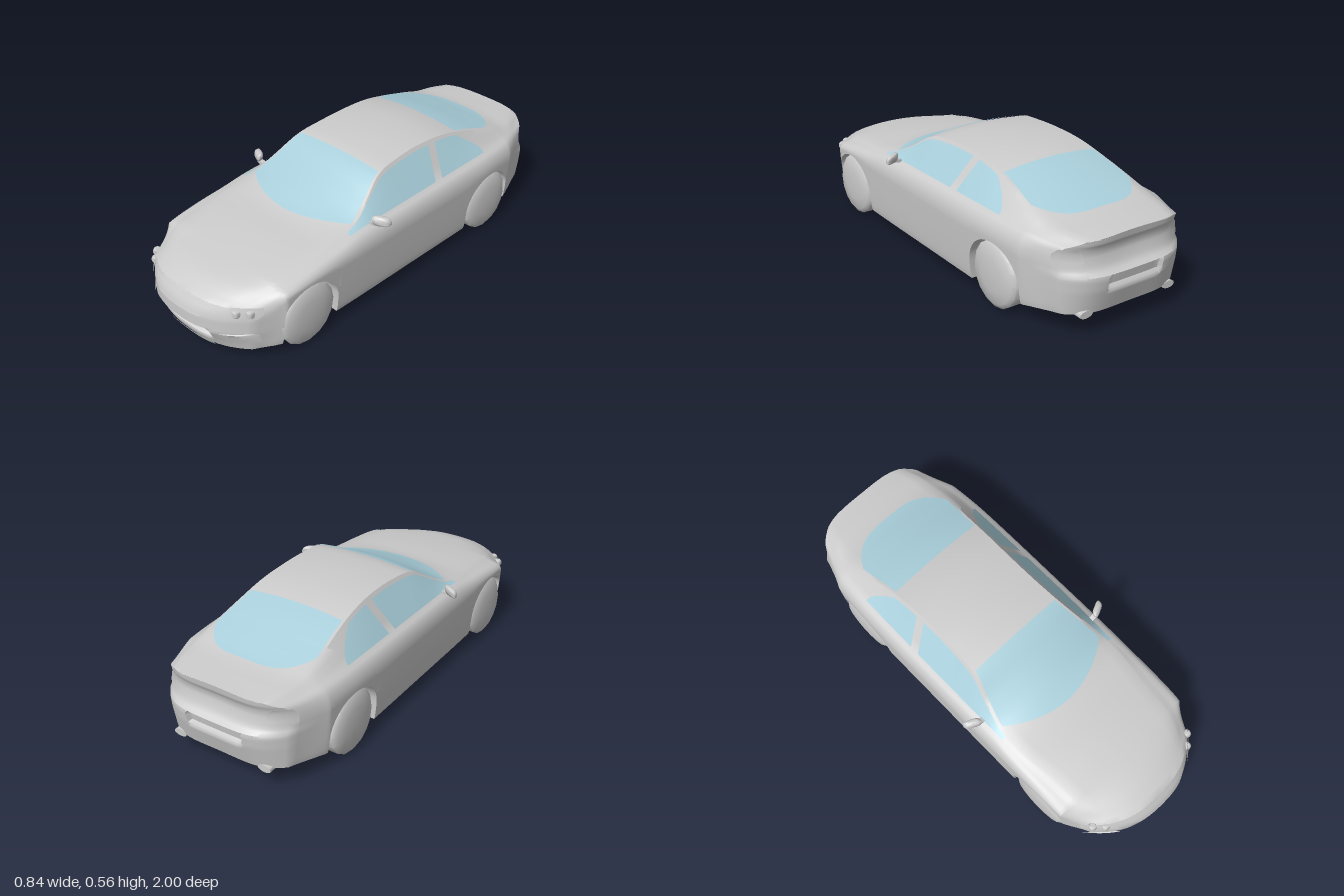
import * as THREE from 'three';
import { mergeGeometries, toCreasedNormals } from 'three/addons/utils/BufferGeometryUtils.js';

const { clamp, lerp } = THREE.MathUtils;
const V = (x, y, z) => new THREE.Vector3(x, y, z);
const grey = new THREE.MeshStandardMaterial({ color: 0xcccccc });
const glass = new THREE.MeshStandardMaterial({ color: 0xaad0dc });

// Upper body by station: s, centre height, roof or hood edge x and y
const ROOF = [
  [-1, .415, .22, .405], [-.9, .422, .25, .412], [-.78, .435, .26, .422], [-.65, .475, .265, .455],
  [-.5, .522, .25, .502], [-.35, .553, .24, .538], [-.2, .563, .235, .55], [-.05, .559, .238, .545],
  [.08, .54, .25, .525], [.2, .484, .285, .45], [.3, .44, .31, .397], [.42, .396, .315, .378],
  [.6, .375, .29, .36], [.75, .352, .28, .338], [.9, .322, .25, .305], [1, .288, .22, .278],
];
// Lower body by station: s, belt x and y, shoulder x and y
const BELT = [
  [-1, .27, .385, .31, .3], [-.9, .295, .385, .337, .305], [-.78, .315, .393, .362, .305],
  [-.65, .33, .395, .376, .305], [-.5, .337, .395, .384, .305], [0, .34, .39, .385, .305],
  [.3, .336, .383, .385, .305], [.42, .342, .365, .384, .305], [.6, .338, .345, .382, .303],
  [.75, .325, .322, .375, .29], [.9, .3, .289, .345, .25], [1, .27, .268, .31, .225],
];
// Set-back of the nose and tail by height
const FRONT_DEPTH = [[.06, .05], [.1, .03], [.15, 0], [.22, 0], [.25, .01], [.29, .035]];
const REAR_DEPTH = [[.1, .04], [.2, .01], [.26, 0], [.28, .03], [.35, .055], [.385, .035], [.415, .03]];
const AXLES = [.61, -.555], ARCH = .16;

// Look up one column of a table, with a cubic or straight blend
function look(table, x, c, smooth = true) {
  const n = table.length - 1;
  x = clamp(x, table[0][0], table[n][0]);
  let i = 0;
  while (i < n - 1 && x > table[i + 1][0]) i++;
  const a = table[i], b = table[i + 1], h = b[0] - a[0], t = (x - a[0]) / h;
  if (!smooth) return lerp(a[c], b[c], t);
  const slope = k => {
    const p = table[Math.max(k - 1, 0)], q = table[Math.min(k + 1, n)];
    return (q[c] - p[c]) / (q[0] - p[0]) * h;
  };
  const t2 = t * t, t3 = t2 * t, w = 3 * t2 - 2 * t3;
  return lerp(a[c], b[c], w) + slope(i) * (t3 - 2 * t2 + t) + slope(i + 1) * (t3 - t2);
}

// Bow the ends in plan and shape the nose and tail in profile
function warp(x, y, s) {
  const a = Math.abs(s), w = Math.abs(x) / .31;
  const bow = s > 0 ? .14 * w ** 2.5 * clamp((a - .74) / .26, 0, 1) : .11 * w ** 4 * clamp((a - .72) / .28, 0, 1);
  const depth = look(s > 0 ? FRONT_DEPTH : REAR_DEPTH, y, 1, false) * clamp((a - .85) / .15, 0, 1);
  return V(x, y, s - Math.sign(s) * (bow + depth * Math.max(0, 1 - .5 * w * w)));
}

// Half cross-section: 0-1 crown, 1-2 pillar, 2-3 shoulder, 3-4 side, 4-7 wheel well and floor
function section(s, v) {
  const [yt, wa, ya] = [1, 2, 3].map(c => look(ROOF, s, c));
  const [wb, yb, wc, yc] = [1, 2, 3, 4].map(c => look(BELT, s, c));
  if (v <= 1) return [wa * v, lerp(yt, ya, v * v)];
  if (v <= 2) return [lerp(wa, wb, v - 1), lerp(ya, yb, v - 1)];
  if (v <= 3) {
    const a = (v - 2) * Math.PI / 2;
    return [lerp(wb, wc, Math.sin(a)), lerp(yb, yc, 1 - Math.cos(a))];
  }
  const floor = .062 + .038 * clamp((-s - .45) / .55, 0, 1);
  let lip = floor;
  for (const z of AXLES) {
    const d = (s - z) / ARCH;
    if (Math.abs(d) <= 1) lip = .145 + .152 * Math.sqrt(1 - d * d);
  }
  const y = lerp(yc, lip, Math.min(v - 3, 1));
  if (v <= 4) return [wc - .022 + .022 * Math.max((y - floor) / (yc - floor), 0) ** .6, y];
  return [[.25, lip], [.25, floor], [0, floor]][v - 5];
}
const surf = (s, v) => warp(...section(s, v), s);

// Body surface point pushed outward along its normal
function raised(s, v, d) {
  const e = .004, ds = surf(s - e, v).sub(surf(s + e, v)), dv = surf(s, v + e).sub(surf(s, v));
  return surf(s, v).addScaledVector(dv.cross(ds).normalize(), d);
}

// Rows of points to triangles, together with their mirror image across x = 0
function grid(rows, flip = false) {
  const pos = [];
  const quad = (a, b, c, d) => [a, b, c, a, c, d].forEach(p => pos.push(p.x, p.y, p.z));
  for (let i = 0; i < rows.length - 1; i++) for (let j = 0; j < rows[i].length - 1; j++) {
    const q = [rows[i][j], rows[i][j + 1], rows[i + 1][j + 1], rows[i + 1][j]];
    if (flip) q.reverse();
    quad(...q);
    quad(...q.map(p => V(-p.x, p.y, p.z)).reverse());
  }
  const g = new THREE.BufferGeometry();
  g.setAttribute('position', new THREE.Float32BufferAttribute(pos, 3));
  return g;
}
const range = (n, f) => Array.from({ length: n + 1 }, (_, i) => f(i / n));

// Sphere squared off into a tapered mirror housing
function mirrorHousing(side) {
  const g = new THREE.SphereGeometry(1, 14, 10), p = g.attributes.position;
  const square = c => Math.sign(c) * Math.abs(c) ** .6;
  for (let i = 0; i < p.count; i++) {
    const x = side * square(p.getX(i)), y = square(p.getY(i)), z = square(p.getZ(i));
    p.setXYZ(i, side * (.385 + x * .035 - y * .005), .41 + y * .021 * (1 - .1 * x), .203 - x * .016 + z * .017);
  }
  return g;
}

export function createModel() {
  const car = new THREE.Group();
  const add = (name, geo, mat = grey, crease = .7) => {
    const m = new THREE.Mesh(toCreasedNormals(geo, crease), mat);
    m.name = name;
    car.add(m);
    return m;
  };

  // Body shell lofted nose to tail, with extra stations around the arches
  const vs = [...range(6, t => t), ...range(3, t => 1 + t).slice(1),
    ...range(4, t => 2 + t).slice(1), ...range(16, t => 3 + t).slice(1), 5, 6, 7];
  const stations = range(60, t => 1 - 2 * t).filter(s => AXLES.every(z => Math.abs(s - z) > ARCH + .005));
  for (const z of AXLES) {
    stations.push(z + ARCH + 1e-4, z - ARCH - 1e-4);
    stations.push(...range(16, t => z + ARCH * .99999 * Math.cos(t * Math.PI)));
  }
  stations.sort((a, b) => b - a);
  const shell = grid(stations.map(s => vs.map(v => surf(s, v))));

  // Nose and tail caps, dented for the intake and the plate recess
  const dent = (x, y, w, y0, y1) => clamp((w - x) / .015, 0, 1) *
    clamp((y - y0) / .012, 0, 1) * clamp((y1 - y) / .012, 0, 1);
  const cap = s => grid(vs.map(v => range(24, t => {
    const [x, y] = section(s, v), p = warp(x * t, y, s);
    p.z += s > 0 ? -.03 * dent(p.x, y, .16, .1, .158) : .02 * dent(p.x, y, .14, .195, .262);
    return p;
  })), s > 0);
  add('body', mergeGeometries([shell, cap(1), cap(-1)]));

  // Windows follow the body surface
  const pane = (name, n, m, f) => add(name, grid(range(n, a => range(m, b => raised(...f(a, b), .003)))), glass);
  pane('windshield', 16, 12, (a, b) => [lerp(.41 - .11 * b * b, .07, a), b * .96]);
  pane('rearWindow', 16, 12, (a, b) => [lerp(-.44, -.78 + .13 * b ** 4, a), b * .96]);
  pane('frontSideWindows', 14, 6, (a, b) => [lerp(.34, -.245 + .045 * b, a), lerp(1.1, 1.97, b)]);
  pane('rearSideWindows', 12, 6, (a, b) => [lerp(-.29 + .045 * b, -.55 + .12 * (1 - b) ** 2, a), lerp(1.1, 1.97, b)]);

  // Panels laid on an end face; rows are y, inner x, outer x from top to bottom
  const panel = (name, s, d, rows) => add(name, grid(rows.map(([y, x0, x1]) => range(12, t => {
    const p = warp(lerp(x0, x1, t), y, s);
    p.z += s * d;
    return p;
  })), s > 0));
  panel('grille', 1, .004, [[.278, 0, .155], [.265, 0, .17], [.25, 0, .16], [.235, 0, .15], [.22, 0, .125]]);
  panel('headlights', 1, .008, [[.285, .24, .335], [.27, .225, .34], [.25, .22, .337], [.235, .217, .325], [.228, .215, .3]]);
  panel('sideIntakes', 1, .006, [[.16, .32, .328], [.152, .2, .328], [.13, .2, .328], [.113, .215, .326]]);
  panel('frontLip', 1, .006, [[.085, 0, .14], [.062, 0, .158]]);
  panel('tailLights', -1, .006, [[.372, .25, .305], [.35, .23, .318], [.32, .225, .322], [.303, .24, .32]]);

  // Wheel profile with a softly domed outer face
  const tyre = [[0, -.055], [.125, -.055], [.145, -.045], [.145, .03], [.125, .044], [.07, .052], [0, .055]]
    .map(p => new THREE.Vector2(...p));

  for (const side of [1, -1]) {
    const sideName = side > 0 ? 'left' : 'right';
    const place = (name, geo, x, y, z) => {
      const m = add(sideName + name, geo, grey, 1);
      m.position.set(side * x, y, z);
      return m;
    };
    place('Mirror', mirrorHousing(side), 0, 0, 0);
    place('MirrorStalk', new THREE.BoxGeometry(.045, .014, .022), .345, .39, .215).rotation.z = side * .25;

    // Paired lamps inside each headlight
    for (const x of [.257, .298]) {
      place('Lamp', new THREE.SphereGeometry(.02, 16, 12), x, .256, warp(x, .256, 1).z - .003);
    }
    place('Exhaust', new THREE.CylinderGeometry(.02, .02, .06, 12).rotateX(Math.PI / 2).scale(1.6, .8, 1), .215, .1, -.925);

    for (const z of AXLES) {
      const wheel = new THREE.LatheGeometry(tyre, 16).rotateZ(-side * Math.PI / 2);
      place(z > 0 ? 'FrontWheel' : 'RearWheel', wheel, .328, .145, z);
    }
  }
  return car;
}
